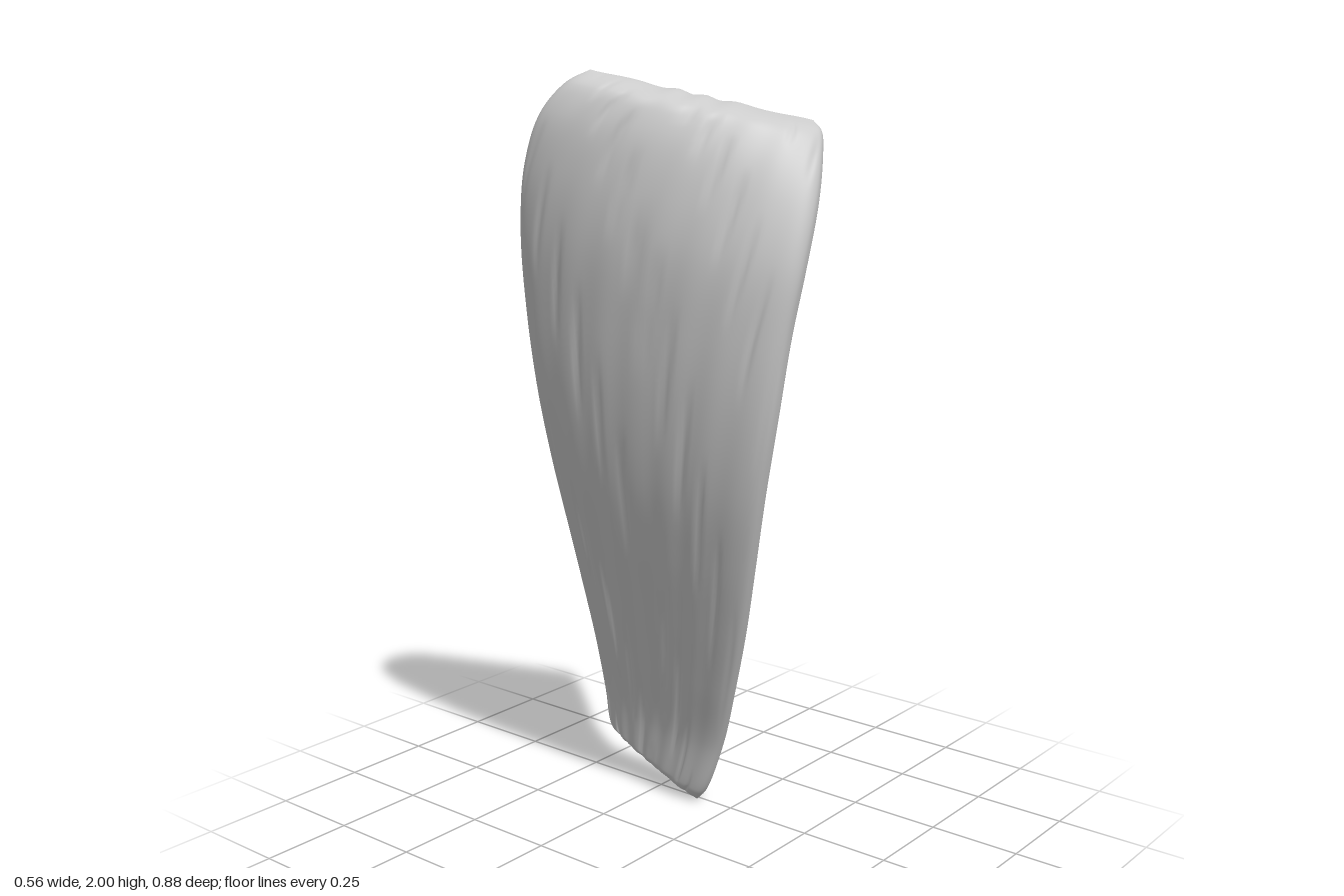
import * as THREE from 'three';

// Matching stations from bottom to top: front edge, back edge, horizontal thickness
const FRONT = [
  [0.24, 0.0, -0.11], [0.23, 0.04, -0.075], [0.203, 0.2, 0.0], [0.135, 0.4, 0.09],
  [0.066, 0.6, 0.175], [0.0, 0.8, 0.25], [-0.052, 1.0, 0.315], [-0.08, 1.2, 0.37],
  [-0.085, 1.4, 0.41], [-0.068, 1.56, 0.437], [-0.027, 1.7, 0.44], [0.015, 1.8, 0.422],
  [0.05, 1.86, 0.395], [0.073, 1.885, 0.355],
];
const BACK = [
  [0.25, 0.135, -0.415], [0.25, 0.16, -0.432], [0.232, 0.26, -0.43], [0.172, 0.44, -0.412],
  [0.108, 0.62, -0.4], [0.04, 0.8, -0.387], [-0.033, 1.0, -0.375], [-0.1, 1.2, -0.36],
  [-0.162, 1.42, -0.336], [-0.213, 1.62, -0.302], [-0.24, 1.78, -0.26], [-0.24, 1.9, -0.207],
  [-0.212, 1.97, -0.15], [-0.175, 1.998, -0.11],
];
const THICK = [0.08, 0.085, 0.1, 0.108, 0.115, 0.12, 0.128, 0.132, 0.135, 0.137, 0.137, 0.135, 0.13, 0.125];

const curve = (pts) => new THREE.CatmullRomCurve3(pts.map((p) => new THREE.Vector3(...p)));
const softPow = (v, e) => Math.sign(v) * Math.abs(v) ** e;

// Long fibre grooves: narrow creases that wander and fade along the length
function fibre(u, t, side) {
  const slant = u + 0.25 * side * (t - 0.5);
  const wave = Math.sin(slant * 21 + 2 * Math.sin(t * 5 + side));
  const crease = Math.abs(Math.sin(slant * 17 + Math.sin(t * 7 + side * 2))) ** 12;
  const gate = Math.max(0, Math.sin(t * 23 + slant * 9 + side));
  return 0.0015 * wave - 0.007 * crease * gate;
}

function slabGeometry(rows = 140, sides = 200) {
  const front = curve(FRONT), back = curve(BACK);
  const thick = curve(THICK.map((v, i) => [v, i, 0]));
  const pos = [], index = [];
  const up = new THREE.Vector3(0, 1, 0);
  for (let j = 0; j <= rows; j++) {
    // Rows bunch up towards both ends, where the slab rounds over
    const t = (1 - Math.cos((Math.PI * j) / rows)) / 2;
    const f = front.getPoint(t), b = back.getPoint(t);
    const mid = f.clone().add(b).multiplyScalar(0.5);
    const half = f.clone().sub(b).multiplyScalar(0.5);
    const normal = up.clone().cross(half).normalize();
    const d = Math.min(1, t / 0.07, (1 - t) / 0.1);
    const cap = Math.sqrt(1 - (1 - d) ** 2);
    const depth = (thick.getPoint(t).x / 2) * cap;
    const bow = -0.016 * THREE.MathUtils.smoothstep(t, 0.5, 0.85);
    for (let i = 0; i < sides; i++) {
      const a = (2 * Math.PI * i) / sides;
      const u = softPow(Math.cos(a), 0.8), w = softPow(Math.sin(a), 0.72);
      const off = depth * w + bow * (1 - u * u) + fibre(u, t, Math.sign(w)) * w * cap;
      const p = mid.clone().addScaledVector(half, u).addScaledVector(normal, off);
      // Slightly ragged ends
      p.y += 0.003 * Math.sin(u * 17 + 2 * Math.sin(u * 5)) * (1 - u * u) * (1 - d);
      pos.push(p.x, p.y, p.z);
      if (j < rows) {
        const n = (i + 1) % sides, r = j * sides, s = r + sides;
        index.push(r + i, r + n, s + n, r + i, s + n, s + i);
      }
    }
  }
  const geo = new THREE.BufferGeometry();
  geo.setAttribute('position', new THREE.Float32BufferAttribute(pos, 3));
  geo.setIndex(index);
  geo.computeVertexNormals();
  return geo;
}

export function createModel() {
  const group = new THREE.Group();
  group.name = 'muscle';
  const slab = new THREE.Mesh(
    slabGeometry(),
    new THREE.MeshStandardMaterial({ color: 0xcccccc }),
  );
  slab.name = 'muscleBelly';
  group.add(slab);
  return group;
}
